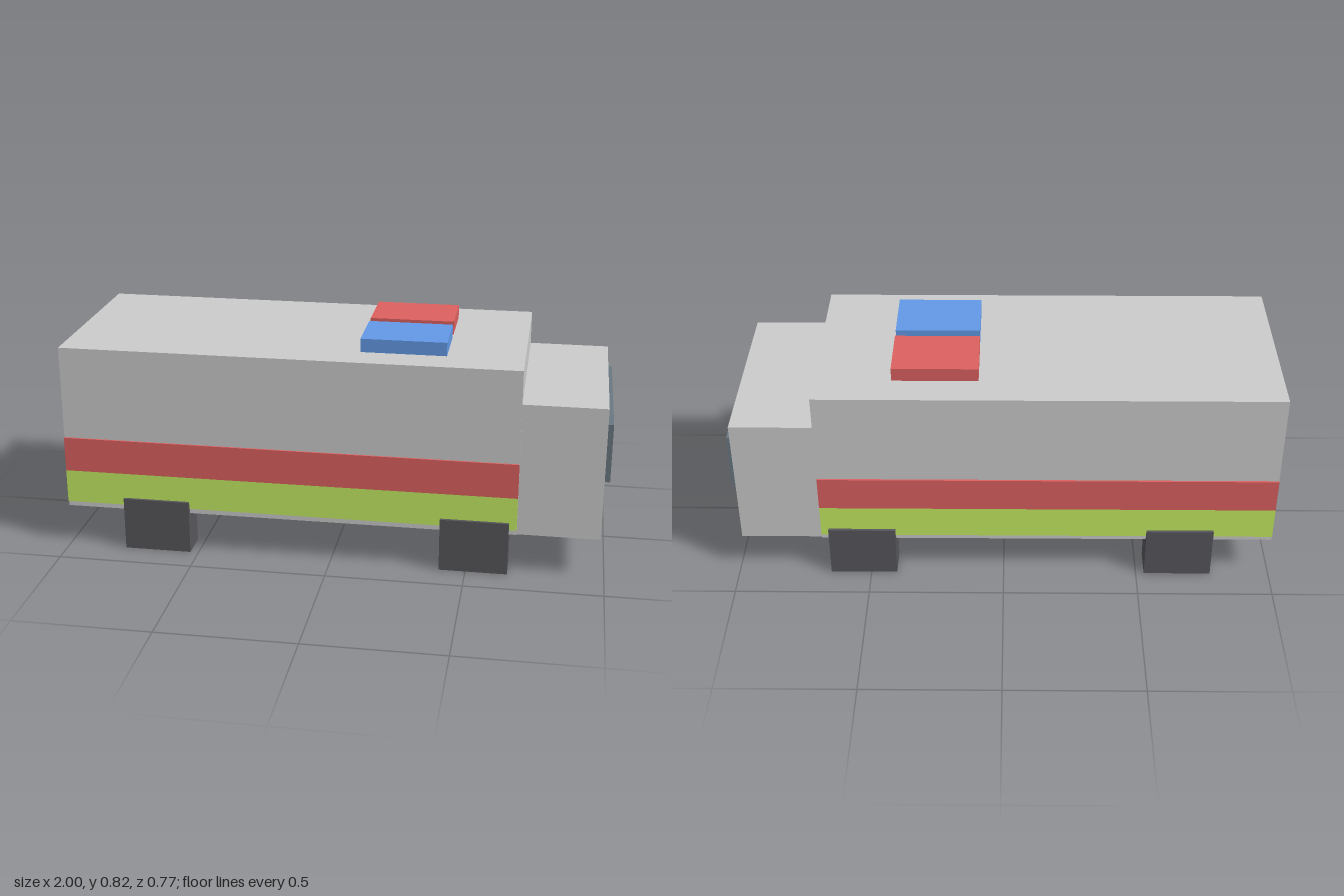
import * as THREE from 'three';

const mat = (color) => new THREE.MeshStandardMaterial({ color });

export function createModel() {
  const model = new THREE.Group();
  const grey = mat(0xcccccc);
  const red = mat(0xdd6060);
  const lime = mat(0xc4ec62);
  const blue = mat(0x6299e6);
  const glass = mat(0x6a7882);
  const rubber = mat(0x57565b);

  // Box given by its lower and upper limits on each axis
  const box = (name, material, [x0, x1], [y0, y1], [z0, z1]) => {
    const mesh = new THREE.Mesh(new THREE.BoxGeometry(x1 - x0, y1 - y0, z1 - z0), material);
    mesh.position.set((x0 + x1) / 2, (y0 + y1) / 2, (z0 + z1) / 2);
    mesh.name = name;
    model.add(mesh);
  };

  // Main body with the lower cab at the +x end
  box('body', grey, [-1, 0.68], [0.152, 0.775], [-0.366, 0.366]);
  box('cab', grey, [0.68, 0.98], [0.152, 0.65], [-0.36, 0.36]);
  box('windscreen', glass, [0.98, 1], [0.363, 0.58], [-0.327, 0.327]);

  // Roof lights
  box('blueLight', blue, [0.09, 0.402], [0.775, 0.825], [0.019, 0.243]);
  box('redLight', red, [0.09, 0.402], [0.775, 0.825], [-0.243, -0.019]);

  // Side stripes and block wheels, mirrored across z
  for (const side of [1, -1]) {
    const span = (a, b) => (side > 0 ? [a, b] : [-b, -a]);
    box('redStripe', red, [-1, 0.68], [0.297, 0.427], span(0.366, 0.373));
    box('limeStripe', lime, [-1, 0.68], [0.172, 0.297], span(0.366, 0.373));
    for (const x of [-0.78, 0.403]) {
      box('wheel', rubber, [x, x + 0.249], [0, 0.2], span(0.272, 0.384));
    }
  }
  return model;
}
